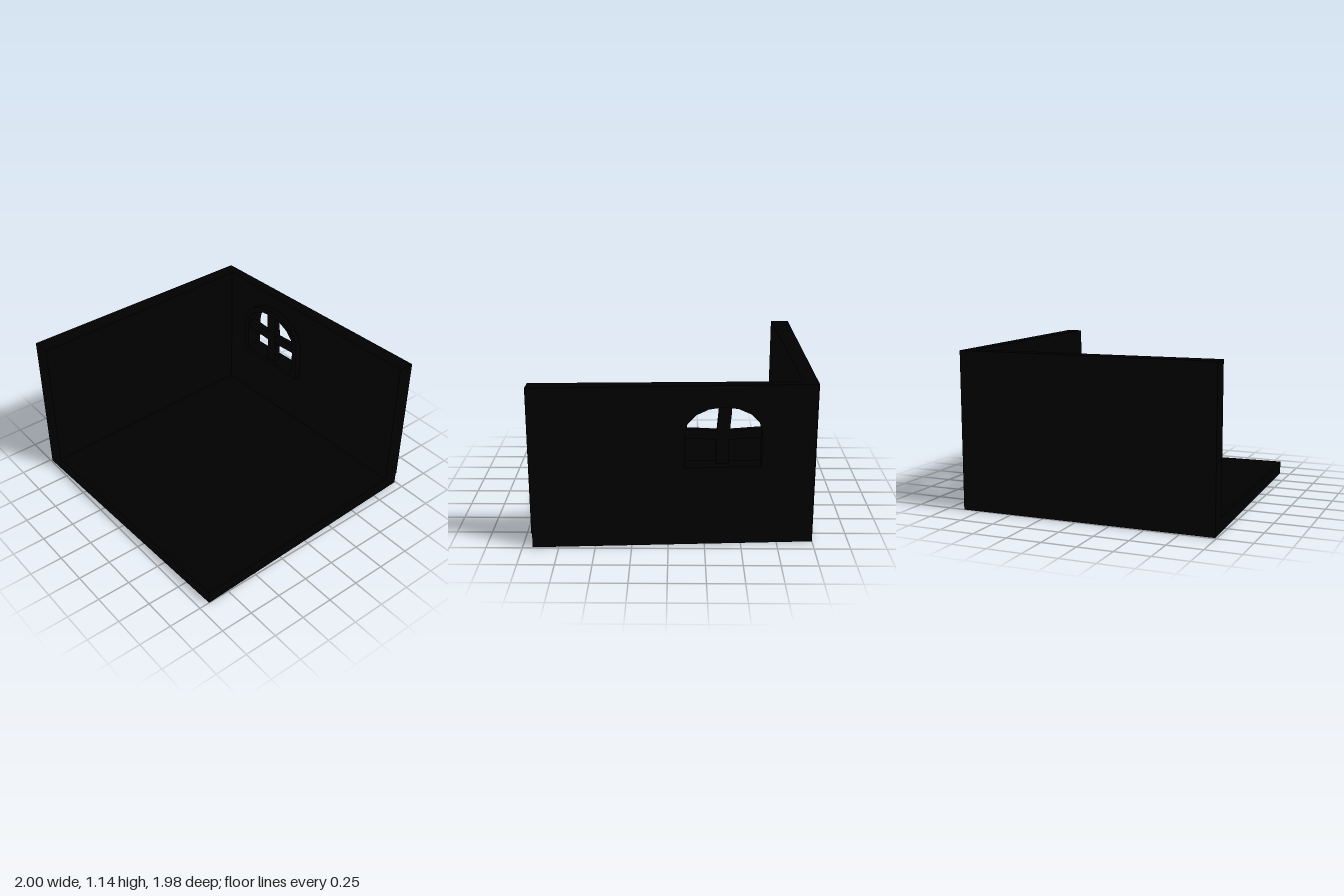
import * as THREE from 'three';

const material = new THREE.MeshStandardMaterial({ color: 0x000000 });
const FLOOR = 0.1, TOP = 1.14;
const CX = -0.37, SPRING = 0.81; // window centre and arch springing height

// z of the back wall's slanted outer and inner faces
const outerZ = (x) => -0.88 - 0.11 * (x + 1) / 1.93;
const innerZ = (x) => -0.81 - 0.06 * (x + 0.9) / 1.83;

function addMesh(group, name, geometry) {
  const mesh = new THREE.Mesh(geometry, material);
  mesh.name = name;
  group.add(mesh);
}

// Upright prism over a plan outline given as [x, z] corners
function prism(corners, y0, y1) {
  const shape = new THREE.Shape(corners.map(([x, z]) => new THREE.Vector2(x, -z)));
  return new THREE.ExtrudeGeometry(shape, { depth: y1 - y0, bevelEnabled: false })
    .rotateX(-Math.PI / 2)
    .translate(0, y0, 0);
}

// Panel drawn in x, y whose back and front follow the given z functions
function slantedPanel(shape, back, front) {
  const geometry = new THREE.ExtrudeGeometry(shape, { depth: 1, bevelEnabled: false });
  const p = geometry.attributes.position;
  for (let i = 0; i < p.count; i++) {
    const x = p.getX(i);
    p.setZ(i, THREE.MathUtils.lerp(back(x), front(x), p.getZ(i)));
  }
  geometry.computeVertexNormals();
  return geometry;
}

// Arched window outline with an eight-sided arch
function archPoints(halfWidth, rise, bottom) {
  const points = [new THREE.Vector2(CX - halfWidth, bottom), new THREE.Vector2(CX + halfWidth, bottom)];
  for (let i = 0; i <= 8; i++) {
    const a = (i / 8) * Math.PI;
    points.push(new THREE.Vector2(CX + halfWidth * Math.cos(a), SPRING + rise * Math.sin(a)));
  }
  return points;
}

// Crooked bar: a centre line widened by a half thickness, along x or y
function barShape(line, half, vertical) {
  const curve = new THREE.SplineCurve(line.map(([x, y]) => new THREE.Vector2(x, y))).getPoints(8);
  const side = (s) => curve.map((p) => new THREE.Vector2(p.x + (vertical ? s * half : 0), p.y + (vertical ? 0 : s * half)));
  return new THREE.Shape([...side(-1), ...side(1).reverse()]);
}

export function createModel() {
  const room = new THREE.Group();
  room.name = 'room';

  // Skewed floor and left wall
  addMesh(room, 'floor', prism([[-1, -0.88], [0.93, -0.99], [1, 0.92], [-0.985, 0.99]], 0, FLOOR));
  addMesh(room, 'sideWall', prism([[-1, -0.88], [-0.9, -0.81], [-0.845, 0.985], [-0.985, 0.99]], FLOOR, TOP));

  // Back wall with the window opening
  const wall = new THREE.Shape([[-0.995, FLOOR], [0.935, FLOOR], [0.935, TOP], [-0.995, TOP]]
    .map(([x, y]) => new THREE.Vector2(x, y)));
  wall.holes.push(new THREE.Path(archPoints(0.26, 0.18, 0.565)));
  addMesh(room, 'backWall', slantedPanel(wall, outerZ, innerZ));

  // Window frame standing proud of the inner face
  const windowGroup = new THREE.Group();
  windowGroup.name = 'window';
  const frame = new THREE.Shape(archPoints(0.305, 0.22, 0.53));
  frame.holes.push(new THREE.Path(archPoints(0.26, 0.18, 0.565)));
  const offset = (d) => (x) => innerZ(x) + d;
  addMesh(windowGroup, 'windowFrame', slantedPanel(frame, offset(-0.005), offset(0.048)));

  // Crooked glazing bars
  const upright = barShape([[-0.385, 1.0], [-0.382, 0.92], [-0.37, 0.78], [-0.367, 0.64], [-0.372, 0.55]], 0.044, true);
  const crossbar = barShape([[-0.64, 0.785], [-0.5, 0.775], [-0.37, 0.768], [-0.24, 0.775], [-0.1, 0.782]], 0.032, false);
  addMesh(windowGroup, 'uprightBar', slantedPanel(upright, offset(-0.02), offset(0.03)));
  addMesh(windowGroup, 'crossbar', slantedPanel(crossbar, offset(-0.018), offset(0.028)));
  room.add(windowGroup);

  return room;
}
